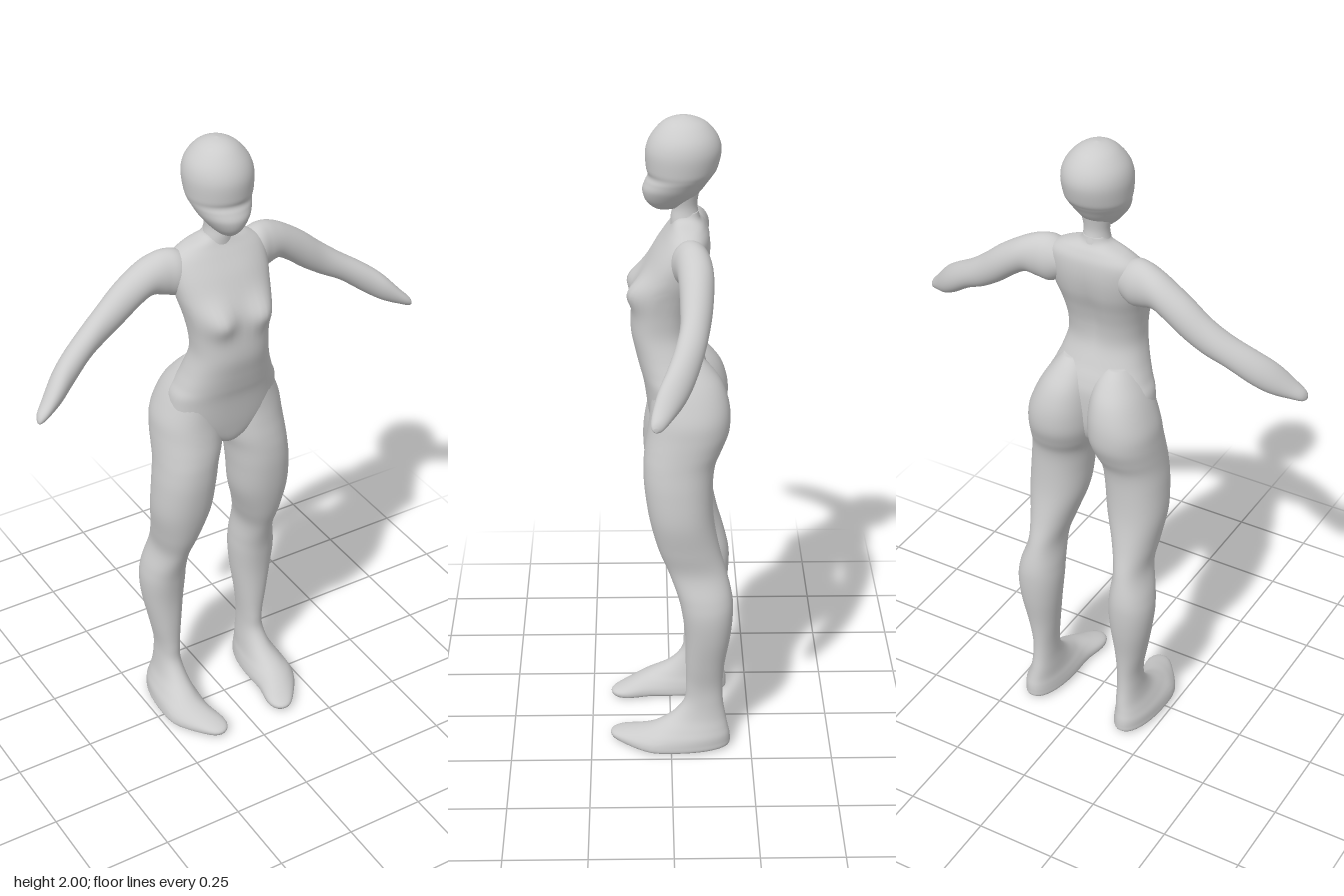
import * as THREE from 'three';

const material = new THREE.MeshStandardMaterial({ color: 0xcccccc });
const SEGMENTS = 40, STEPS = 6;

// Catmull-Rom blend of four equal-length rows
function blend(a, b, c, d, t) {
  return b.map((_, k) => 0.5 * (2 * b[k] + (c[k] - a[k]) * t
    + (2 * a[k] - 5 * b[k] + 4 * c[k] - d[k]) * t * t
    + (3 * b[k] - a[k] - 3 * c[k] + d[k]) * t * t * t));
}

// Smooth closed skin through cross-sections [t, u0, u1, v0, v1], t ascending.
// axis 'y': t = y, u = x, v = z.  axis 'x': t = x, u = z, v = y.
function loft(rows, { axis = 'y', power = 2, warp = null } = {}) {
  const rings = [];
  const last = rows.length - 1;
  for (let i = 0; i < last; i++) {
    for (let s = 0; s < STEPS; s++) {
      rings.push(blend(rows[Math.max(i - 1, 0)], rows[i], rows[i + 1], rows[Math.min(i + 2, last)], s / STEPS));
    }
  }
  rings.push(rows[last]);
  const positions = [], index = [];
  const p = new THREE.Vector3();
  const add = (t, u, v) => {
    if (axis === 'y') p.set(u, t, v); else p.set(t, v, u);
    if (warp) warp(p);
    positions.push(p.x, p.y, p.z);
  };
  const round = (c) => Math.sign(c) * Math.abs(c) ** (2 / power);
  for (const [t, u0, u1, v0, v1] of rings) {
    for (let j = 0; j < SEGMENTS; j++) {
      const a = (j / SEGMENTS) * Math.PI * 2;
      add(t, (u0 + u1) / 2 + round(Math.cos(a)) * (u1 - u0) / 2, (v0 + v1) / 2 + round(Math.sin(a)) * (v1 - v0) / 2);
    }
  }
  for (let i = 0; i < rings.length - 1; i++) {
    for (let j = 0; j < SEGMENTS; j++) {
      const a = i * SEGMENTS + j, b = i * SEGMENTS + (j + 1) % SEGMENTS;
      index.push(a, a + SEGMENTS, b, b, a + SEGMENTS, b + SEGMENTS);
    }
  }
  // End caps
  const bottom = rings.length * SEGMENTS, top = bottom + 1, base = bottom - SEGMENTS;
  for (const [t, u0, u1, v0, v1] of [rings[0], rows[last]]) add(t, (u0 + u1) / 2, (v0 + v1) / 2);
  for (let j = 0; j < SEGMENTS; j++) {
    const k = (j + 1) % SEGMENTS;
    index.push(bottom, j, k, top, base + k, base + j);
  }
  const geometry = new THREE.BufferGeometry();
  geometry.setAttribute('position', new THREE.Float32BufferAttribute(positions, 3));
  geometry.setIndex(index);
  geometry.computeVertexNormals();
  return geometry;
}

// Reflected copy in x with the winding put right
function mirror(geometry) {
  const copy = geometry.clone();
  copy.scale(-1, 1, 1);
  const ix = copy.index.array;
  for (let i = 0; i < ix.length; i += 3) [ix[i], ix[i + 1]] = [ix[i + 1], ix[i]];
  copy.computeVertexNormals();
  return copy;
}

// Rows [y, halfWidth, back, front] for parts centred on x = 0
const centred = (rows) => rows.map(([y, w, back, front]) => [y, -w, w, back, front]);

export function createModel() {
  const model = new THREE.Group();
  model.name = 'figure';
  const add = (name, geometry) => {
    const mesh = new THREE.Mesh(geometry, material);
    mesh.name = name;
    model.add(mesh);
  };
  const addPair = (name, geometry) => {
    add(`${name}Left`, geometry);
    add(`${name}Right`, mirror(geometry));
  };

  // Torso from crotch to shoulders, with chest swell and spine groove
  add('torso', loft(centred([
    [1.015, 0.015, -0.06, 0.02],
    [1.04, 0.06, -0.09, 0.05],
    [1.10, 0.165, -0.11, 0.065],
    [1.20, 0.172, -0.115, 0.08],
    [1.25, 0.153, -0.105, 0.093],
    [1.30, 0.134, -0.085, 0.105],
    [1.36, 0.119, -0.067, 0.117],
    [1.42, 0.121, -0.07, 0.115],
    [1.48, 0.131, -0.085, 0.103],
    [1.54, 0.145, -0.105, 0.083],
    [1.60, 0.152, -0.115, 0.053],
    [1.65, 0.145, -0.113, 0.02],
    [1.68, 0.105, -0.1, 0],
    [1.70, 0.05, -0.085, -0.008],
    [1.72, 0.036, -0.08, -0.005],
  ]), {
    power: 2.3,
    warp: (p) => {
      const bump = (x, y, s) => Math.exp(-((p.x - x) ** 2 + (p.y - y) ** 2) / (2 * s * s));
      if (p.z > 0.02) p.z += 0.036 * (bump(0.072, 1.49, 0.034) + bump(-0.072, 1.49, 0.034));
      if (p.z < -0.04) p.z += 0.012 * Math.exp(-((p.x / 0.025) ** 2) - ((p.y - 1.45) / 0.13) ** 2);
    },
  }));

  // Neck
  add('neck', loft(centred([
    [1.66, 0.06, -0.095, 0.0],
    [1.70, 0.043, -0.085, 0.0],
    [1.74, 0.038, -0.077, -0.005],
    [1.79, 0.05, -0.085, 0.01],
  ])));

  // Head with chin, sunken eye line and brow
  add('head', loft(centred([
    [1.725, 0.012, 0.005, 0.035],
    [1.733, 0.028, -0.03, 0.053],
    [1.755, 0.05, -0.062, 0.073],
    [1.785, 0.073, -0.09, 0.081],
    [1.81, 0.086, -0.108, 0.073],
    [1.828, 0.093, -0.121, 0.065],
    [1.85, 0.098, -0.134, 0.07],
    [1.90, 0.101, -0.145, 0.072],
    [1.94, 0.09, -0.135, 0.058],
    [1.975, 0.062, -0.107, 0.03],
    [1.993, 0.032, -0.073, 0],
    [2.0, 0.002, -0.04, -0.036],
  ])));

  // Arms: sections [x, back, front, bottom, top] out to the mitten hands
  addPair('arm', loft([
    [0.08, -0.09, -0.02, 1.57, 1.65],
    [0.13, -0.11, 0.0, 1.535, 1.675],
    [0.17, -0.115, -0.008, 1.54, 1.677],
    [0.21, -0.118, -0.016, 1.548, 1.664],
    [0.25, -0.119, -0.02, 1.527, 1.643],
    [0.31, -0.114, -0.022, 1.482, 1.603],
    [0.37, -0.103, -0.02, 1.445, 1.553],
    [0.43, -0.088, -0.005, 1.415, 1.508],
    [0.50, -0.062, 0.022, 1.365, 1.463],
    [0.55, -0.035, 0.045, 1.335, 1.424],
    [0.60, 0.003, 0.06, 1.318, 1.369],
    [0.625, 0.025, 0.061, 1.311, 1.343],
    [0.633, 0.042, 0.054, 1.315, 1.327],
  ], { axis: 'x' }));

  // Legs: sections [y, inner, outer, back, front] from sole to buttock
  addPair('leg', loft([
    [0.0, 0.11, 0.22, -0.165, 0.165],
    [0.01, 0.098, 0.234, -0.183, 0.187],
    [0.028, 0.098, 0.234, -0.185, 0.185],
    [0.05, 0.104, 0.228, -0.183, 0.125],
    [0.075, 0.112, 0.215, -0.177, 0.06],
    [0.11, 0.117, 0.2, -0.17, 0.0],
    [0.16, 0.121, 0.192, -0.162, -0.04],
    [0.22, 0.12, 0.192, -0.16, -0.046],
    [0.30, 0.112, 0.207, -0.166, -0.045],
    [0.40, 0.1, 0.226, -0.182, -0.043],
    [0.48, 0.094, 0.233, -0.189, -0.033],
    [0.54, 0.096, 0.225, -0.186, -0.02],
    [0.62, 0.1, 0.204, -0.168, 0.008],
    [0.70, 0.078, 0.213, -0.146, 0.04],
    [0.80, 0.047, 0.227, -0.128, 0.066],
    [0.90, 0.035, 0.224, -0.125, 0.08],
    [0.97, 0.026, 0.217, -0.132, 0.082],
    [1.02, 0.01, 0.213, -0.153, 0.078],
    [1.07, 0.0, 0.209, -0.172, 0.07],
    [1.12, -0.002, 0.203, -0.176, 0.063],
    [1.17, 0.0, 0.186, -0.169, 0.06],
    [1.22, 0.005, 0.163, -0.15, 0.06],
    [1.265, 0.015, 0.135, -0.116, 0.055],
    [1.30, 0.035, 0.11, -0.08, 0.045],
  ], {
    power: 2.15,
    // Turn the toes inward
    warp: (p) => {
      const toe = THREE.MathUtils.smoothstep(p.z, 0.04, 0.19);
      p.x -= 0.045 * toe * (1 - THREE.MathUtils.smoothstep(p.y, 0.08, 0.15));
    },
  }));

  return model;
}
